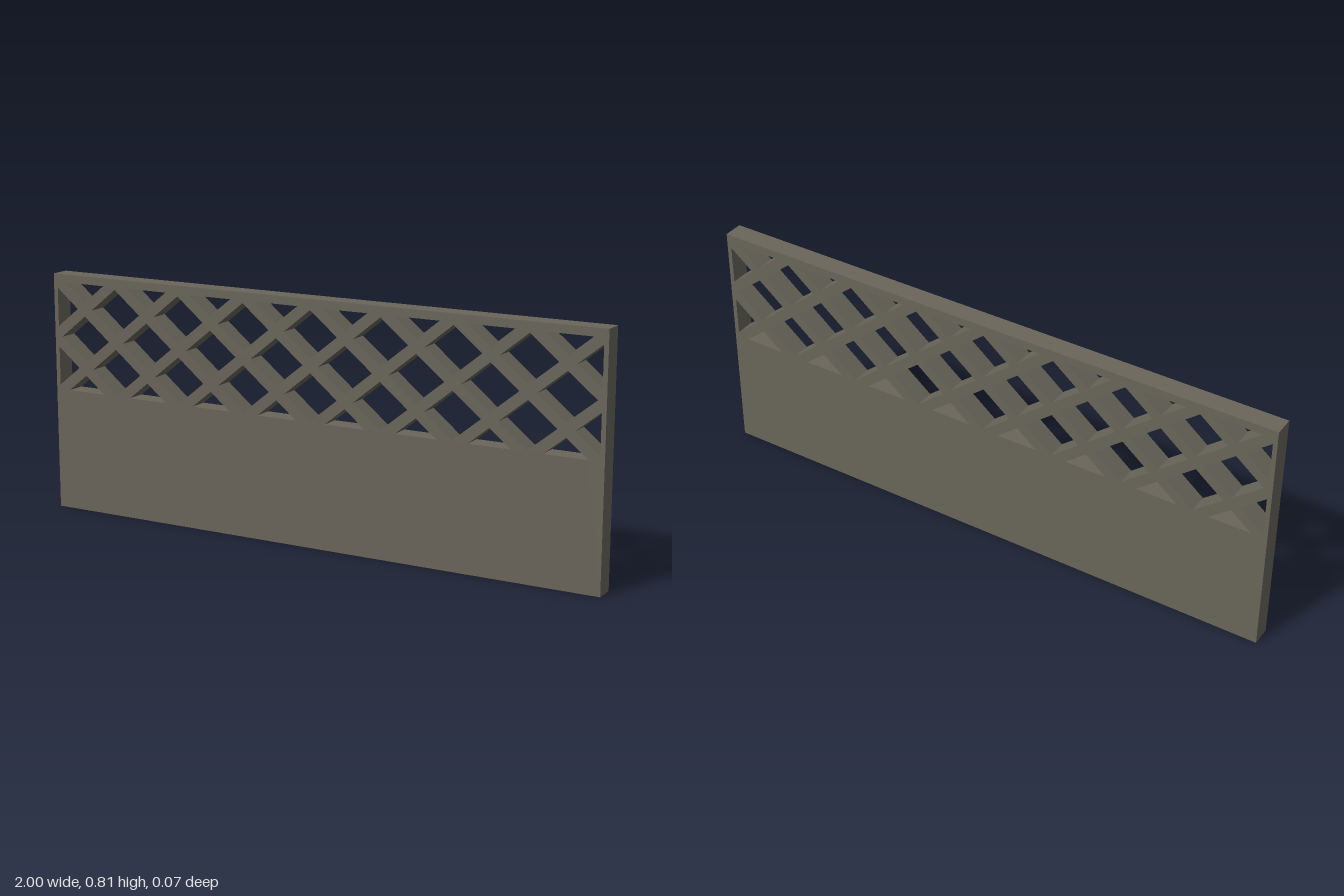
import * as THREE from 'three';

const HEIGHT = 0.815, DEPTH = 0.067;
// Edges of the lattice window
const WINDOW = { x0: -0.985, x1: 0.985, y0: 0.417, y1: 0.788 };
// Half spacing of the crossings, and half size of each diamond opening
const STEP_X = 0.125, STEP_Y = 0.1015, HALF_W = 0.0965, HALF_H = 0.078;
const MID_Y = 0.6;

// Cuts a convex polygon, keeping the side where sign * (p[axis] - limit) >= 0
function clip(points, axis, limit, sign) {
  const out = [];
  points.forEach((p, i) => {
    const q = points[(i + 1) % points.length];
    const dp = sign * (p[axis] - limit), dq = sign * (q[axis] - limit);
    if (dp >= 0) out.push(p);
    if (dp * dq < 0) out.push(p.clone().lerp(q, dp / (dp - dq)));
  });
  return out;
}

// Diamond opening trimmed to the window
function opening(cx, cy) {
  let pts = [[HALF_W, 0], [0, HALF_H], [-HALF_W, 0], [0, -HALF_H]]
    .map(([x, y]) => new THREE.Vector2(cx + x, cy + y));
  pts = clip(pts, 'x', WINDOW.x0, 1);
  pts = clip(pts, 'x', WINDOW.x1, -1);
  pts = clip(pts, 'y', WINDOW.y0, 1);
  return clip(pts, 'y', WINDOW.y1, -1);
}

export function createModel() {
  const group = new THREE.Group();
  group.name = 'latticeFence';
  const weatheredWood = new THREE.MeshStandardMaterial({ color: 0x69655a });
  weatheredWood.name = 'weatheredWood';

  // Solid panel outline with its frame
  const outline = new THREE.Shape([
    new THREE.Vector2(-1, 0), new THREE.Vector2(1, 0),
    new THREE.Vector2(1, HEIGHT), new THREE.Vector2(-1, HEIGHT),
  ]);

  // Staggered rows of openings leave the crossing lattice bars
  for (let row = -2; row <= 2; row++) {
    for (let col = -8; col <= 8; col++) {
      if ((row + col) % 2 === 0) continue;
      const pts = opening(col * STEP_X, MID_Y + row * STEP_Y);
      if (pts.length > 2) outline.holes.push(new THREE.Path(pts));
    }
  }

  const geometry = new THREE.ExtrudeGeometry(outline, { depth: DEPTH, bevelEnabled: false });
  geometry.translate(0, 0, -DEPTH / 2);
  const panel = new THREE.Mesh(geometry, weatheredWood);
  panel.name = 'latticePanel';
  group.add(panel);
  return group;
}
